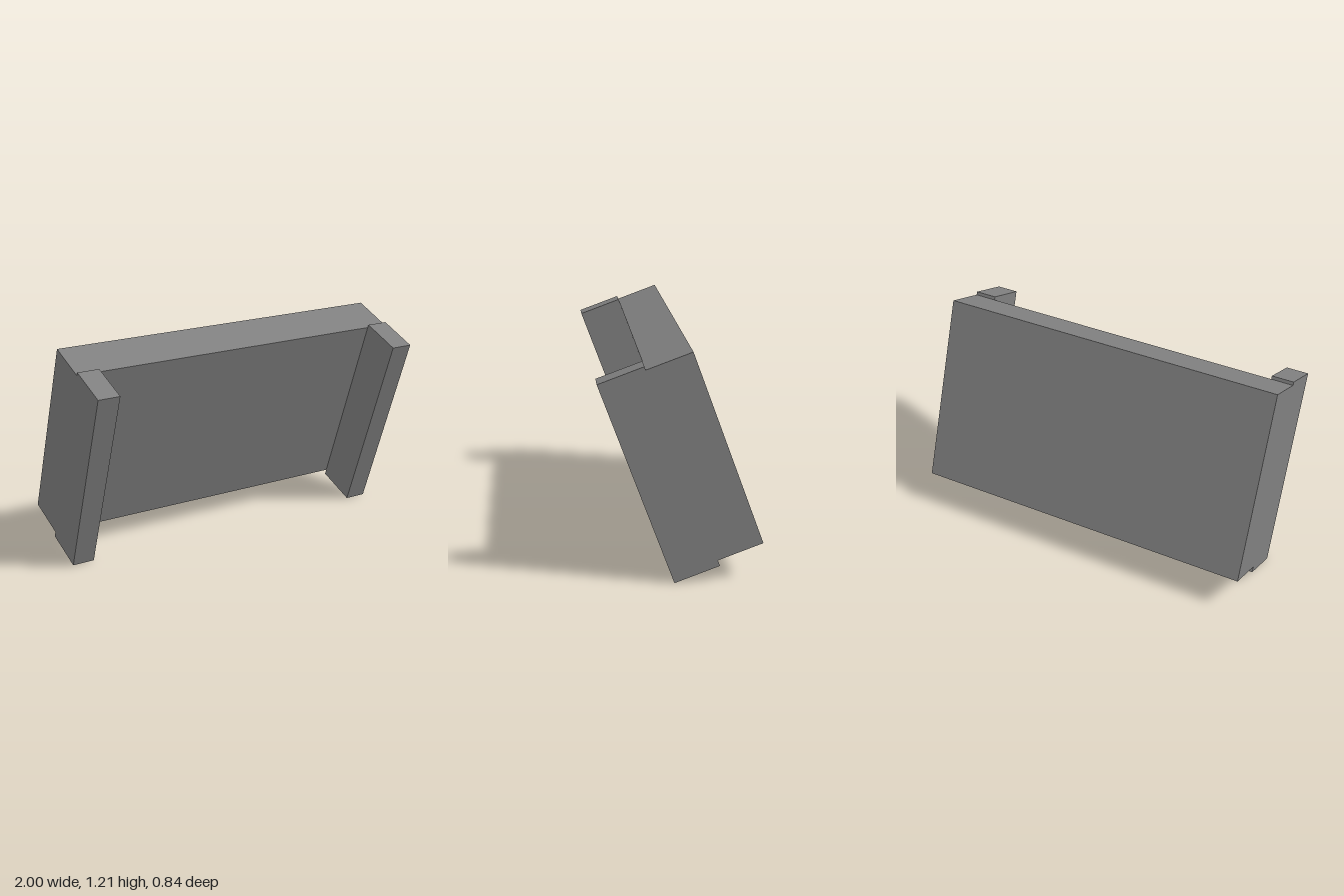
import * as THREE from 'three';

export function createModel() {
  const model = new THREE.Group();
  const grey = new THREE.MeshStandardMaterial({ color: 0x808080 });
  grey.name = 'grey';

  // Whole piece leans forward by 20 degrees
  const body = new THREE.Group();
  body.name = 'tiltedBody';
  body.rotation.x = THREE.MathUtils.degToRad(20);
  body.position.set(0, 0.665, -0.119);
  model.add(body);

  const addBox = (name, w, h, d, x, y, z) => {
    const mesh = new THREE.Mesh(new THREE.BoxGeometry(w, h, d), grey);
    mesh.name = name;
    mesh.position.set(x, y, z);
    body.add(mesh);
  };

  // Thick main slab
  addBox('slab', 2, 1.076, 0.25, 0, 0, 0);

  // Side rails on the front face, slightly longer than the slab
  for (const [name, side] of [['leftRail', 1], ['rightRail', -1]]) {
    addBox(name, 0.125, 1.127, 0.25, side * 0.9375, -0.007, 0.25);
  }

  return model;
}
